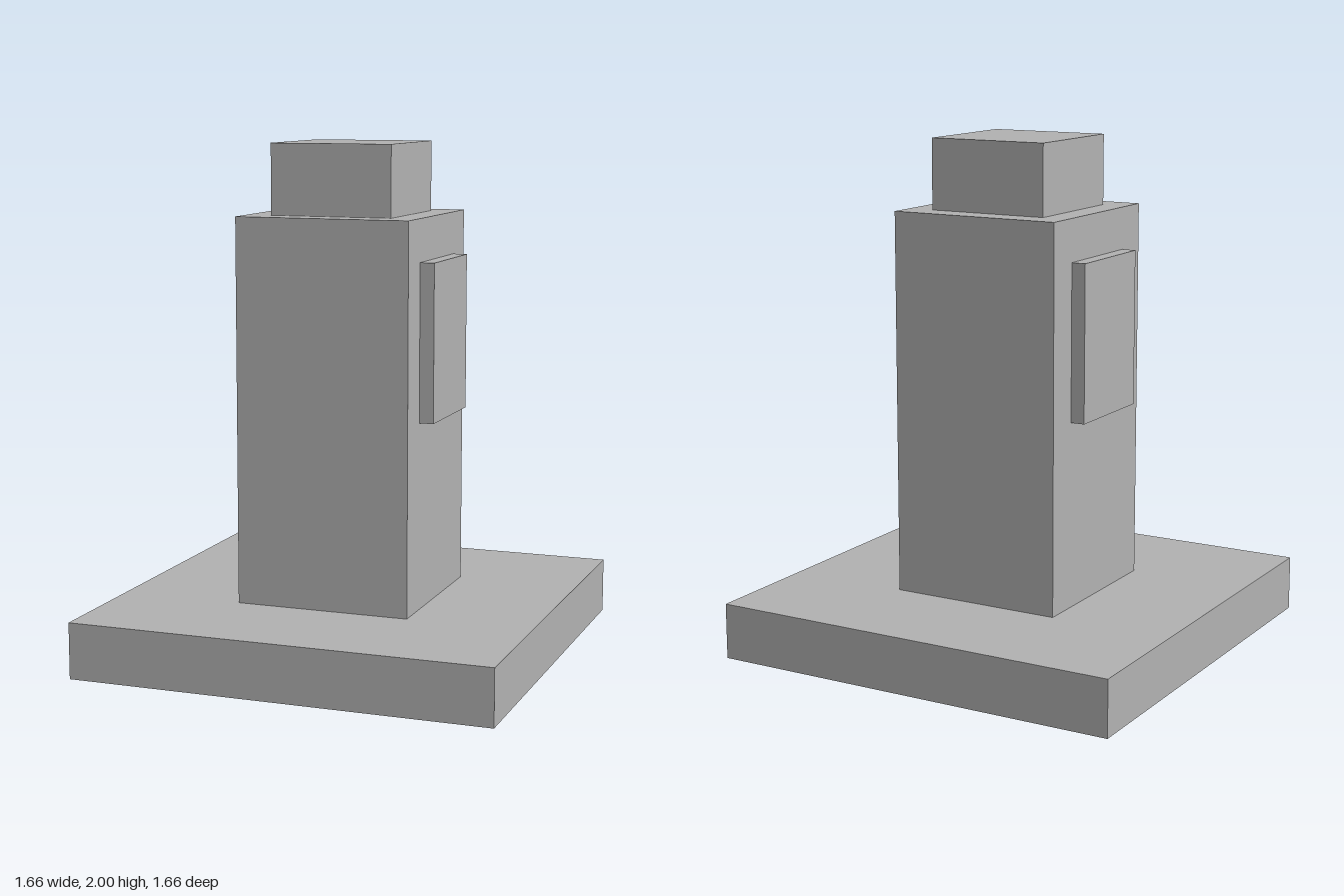
import * as THREE from 'three';

export function createModel() {
  const model = new THREE.Group();
  const grey = new THREE.MeshStandardMaterial({ color: 0xb2b2b2 });
  grey.name = 'grey';

  // Box resting at height y0 and reaching y1, centred on z
  function block(name, width, depth, y0, y1, x = 0) {
    const mesh = new THREE.Mesh(new THREE.BoxGeometry(width, y1 - y0, depth), grey);
    mesh.name = name;
    mesh.position.set(x, (y0 + y1) / 2, 0);
    model.add(mesh);
  }

  // Stepped column on a wide plinth
  block('plinth', 1.664, 1.664, 0, 0.22);
  block('column', 0.692, 0.692, 0.22, 1.725);
  block('cap', 0.484, 0.484, 1.725, 2);

  // Raised panels on both sides of the column
  for (const side of [-1, 1]) {
    block(side > 0 ? 'leftPanel' : 'rightPanel', 0.056, 0.416, 0.95, 1.56, side * 0.374);
  }

  return model;
}
